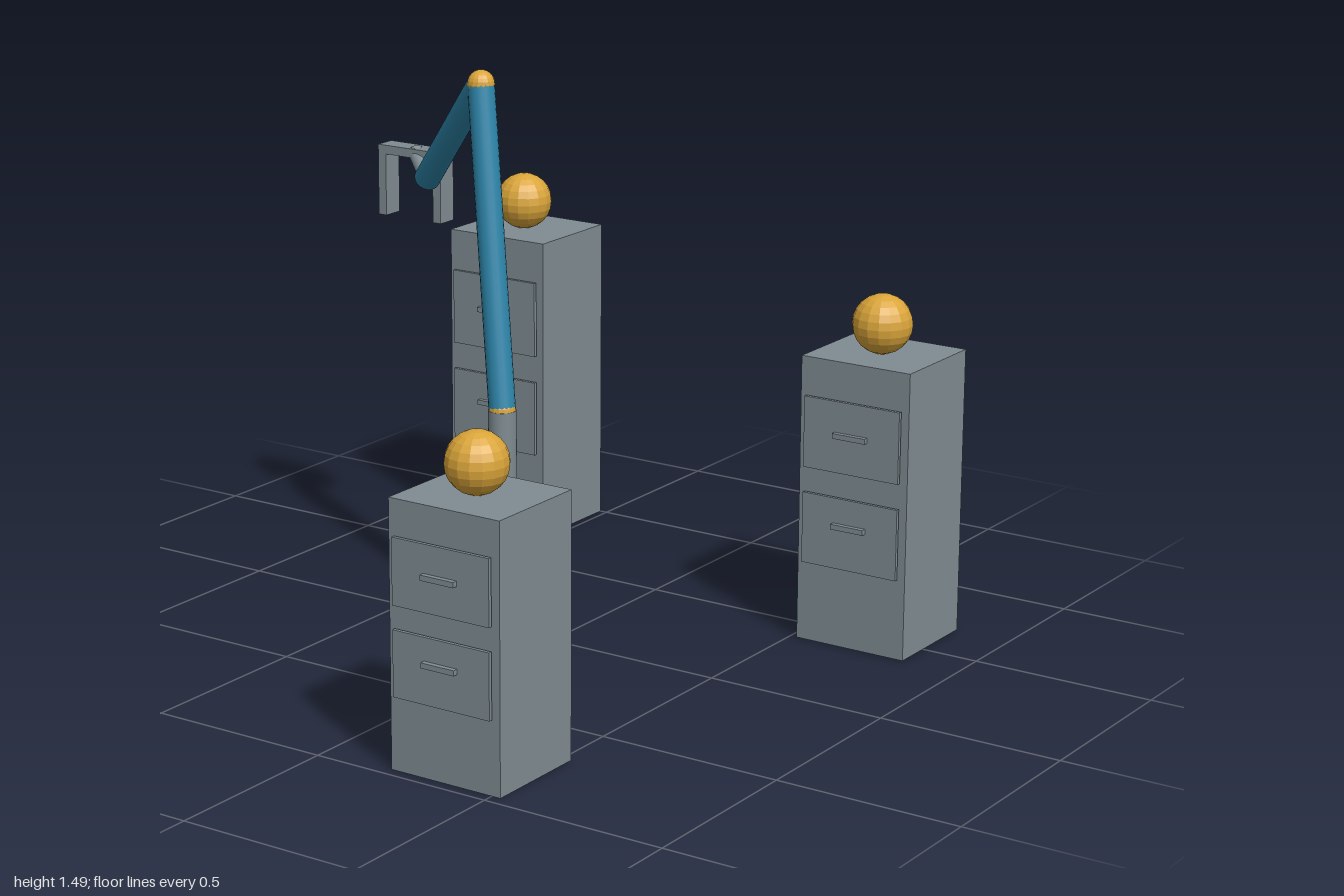
import * as THREE from 'three';

const mat = (name, color, flatShading = false) => {
  const m = new THREE.MeshStandardMaterial({ color, flatShading });
  m.name = name;
  return m;
};

export function createModel() {
  const steel = mat('steel grey', 0x7f8c92);
  const blue = mat('arm blue', 0x2e86ab);
  const amber = mat('amber', 0xdaa53a, true);
  const model = new THREE.Group();
  model.name = 'robotArmAndCabinets';

  const add = (parent, name, geometry, material, x, y, z) => {
    const mesh = new THREE.Mesh(geometry, material);
    mesh.name = name;
    mesh.position.set(x, y, z);
    parent.add(mesh);
    return mesh;
  };
  const box = (parent, name, w, h, d, x, y, z) =>
    add(parent, name, new THREE.BoxGeometry(w, h, d), steel, x, y, z);

  // Straight round bar between two points
  const bar = (parent, name, a, b, r, material) => {
    const dir = b.clone().sub(a);
    const mid = a.clone().add(b).multiplyScalar(0.5);
    const mesh = add(parent, name, new THREE.CylinderGeometry(r, r, dir.length(), 20), material, mid.x, mid.y, mid.z);
    mesh.quaternion.setFromUnitVectors(new THREE.Vector3(0, 1, 0), dir.normalize());
  };

  // Two-drawer cabinets, each with a ball on top
  const W = 0.322, D = 0.295;
  const cabinet = (name, x, z, h) => {
    const g = new THREE.Group();
    g.name = name;
    g.position.set(x, 0, z);
    model.add(g);
    box(g, 'cabinetBody', W, h, D, 0, h / 2, 0);
    for (const f of [0.392, 0.729]) {
      box(g, 'drawerFront', 0.283, h * 0.248, 0.01, 0, h * f + h * 0.015, D / 2 + 0.011);
      box(g, 'drawerHandle', 0.097, 0.014, 0.014, 0, h * (f + 0.042 - (f > 0.5 ? 0.019 : 0)), D / 2 + 0.023);
    }
    add(g, 'ball', new THREE.SphereGeometry(0.08, 16, 12), amber, 0, h + 0.08, 0.012);
  };
  cabinet('tallCabinet', -0.682, -0.8525, 0.868);
  cabinet('middleCabinet', 0.68, -0.539, 0.777);
  cabinet('lowCabinet', 0.364, 0.8225, 0.688);

  // Robot arm
  const arm = new THREE.Group();
  arm.name = 'robotArm';
  model.add(arm);
  const foot = new THREE.Vector3(-0.16, 0.025, 0);
  const shoulder = new THREE.Vector3(-0.16, 0.61, 0);
  const elbow = new THREE.Vector3(-0.282, 1.455, -0.081);
  const wrist = new THREE.Vector3(-0.622, 1.12, -0.298);
  const palm = new THREE.Vector3(-0.704, 1.175, -0.355);
  box(arm, 'basePlate', 0.25, 0.025, 0.25, -0.16, 0.0125, 0);
  bar(arm, 'column', foot, shoulder, 0.038, steel);
  bar(arm, 'upperArm', shoulder, elbow, 0.036, blue);
  bar(arm, 'forearm', elbow, wrist, 0.036, blue);
  bar(arm, 'wristLink', wrist, palm, 0.022, steel);
  for (const [name, p] of [['shoulderJoint', shoulder], ['elbowJoint', elbow]]) {
    add(arm, name, new THREE.SphereGeometry(0.037, 16, 12), amber, p.x, p.y, p.z);
  }

  // Two-finger gripper
  box(arm, 'gripperPalm', 0.212, 0.025, 0.06, palm.x, palm.y, palm.z);
  for (const s of [-1, 1]) {
    box(arm, 'gripperFinger', 0.026, 0.173, 0.06, palm.x + s * 0.093, 1.0765, palm.z);
  }
  return model;
}
